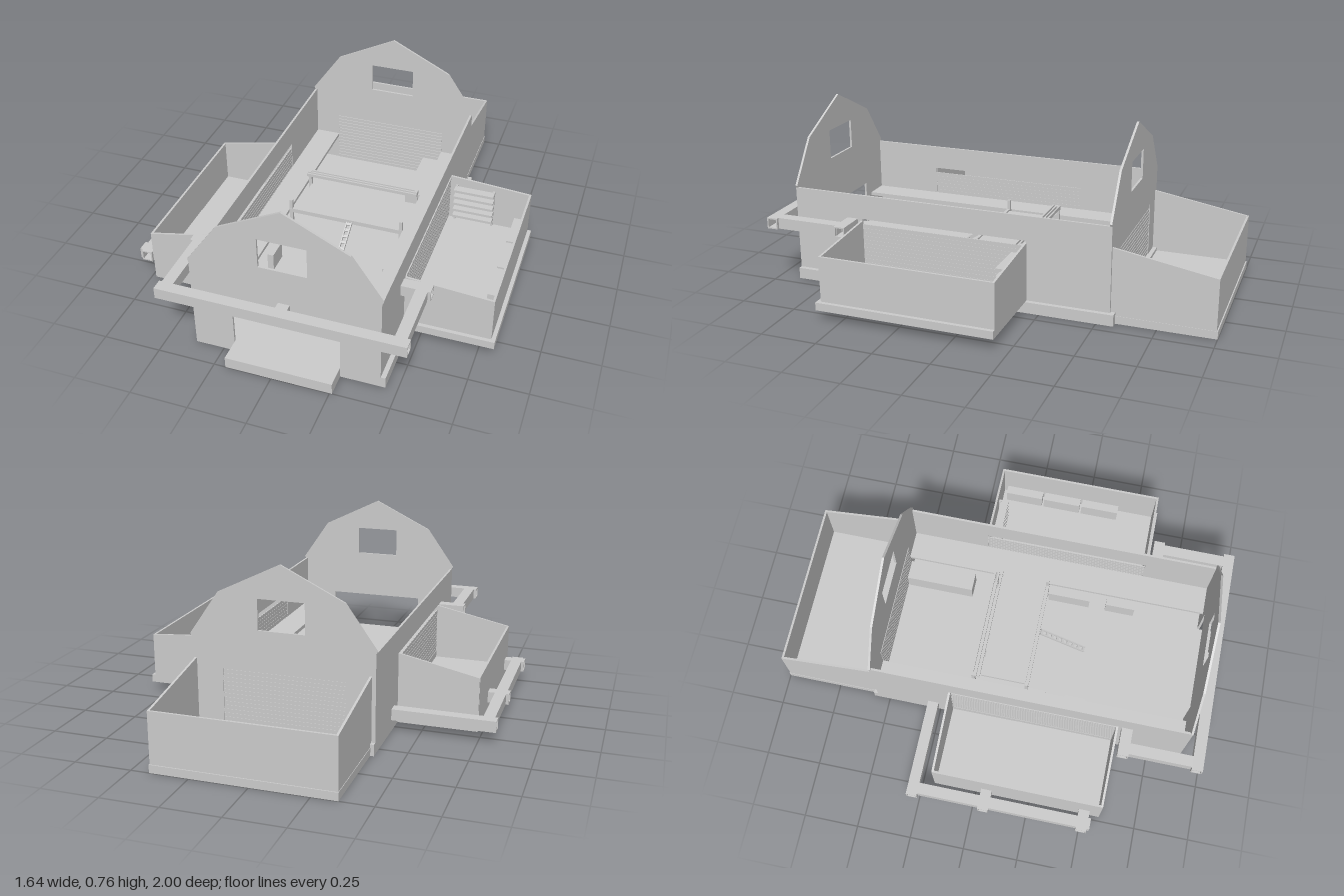
import * as THREE from 'three';

const T = 0.01; // wall thickness

export function createModel() {
  const root = new THREE.Group();
  const mat = new THREE.MeshStandardMaterial({ color: 0xcccccc, flatShading: true });

  const add = (name, geo) => {
    const m = new THREE.Mesh(geo, mat);
    m.name = name;
    root.add(m);
    return m;
  };

  // Box given by its limits
  const box = (name, x0, x1, y0, y1, z0, z1) =>
    add(name, new THREE.BoxGeometry(x1 - x0, y1 - y0, z1 - z0)
      .translate((x0 + x1) / 2, (y0 + y1) / 2, (z0 + z1) / 2));

  const path = (pts) => pts.map(([a, b]) => new THREE.Vector2(a, b));
  const rect = (a0, a1, b0, b1) => [[a0, b0], [a1, b0], [a1, b1], [a0, b1]];
  const extrude = (pts, holes, depth) => {
    const s = new THREE.Shape(path(pts));
    holes.forEach((h) => s.holes.push(new THREE.Path(path(h))));
    return new THREE.ExtrudeGeometry(s, { depth, bevelEnabled: false });
  };
  // Upright wall facing z, outline in x and y
  const wallZ = (name, z, pts, holes = []) =>
    add(name, extrude(pts, holes, T).translate(0, 0, z));
  // Upright wall facing x, outline in z and y
  const wallX = (name, x, pts, holes = []) =>
    add(name, extrude(pts, holes, T).rotateY(-Math.PI / 2).translate(x + T, 0, 0));

  // Open square pipe running along x or z
  const pipe = (name, axis, a0, a1, across, y) => {
    const w = 0.05, e = 0.006;
    const g = extrude(rect(0, w, 0, w), [rect(e, w - e, e, w - e)], a1 - a0);
    if (axis === 'z') g.translate(across, y, a0);
    else g.rotateY(Math.PI / 2).translate(a0, y, across + w);
    add(name, g);
  };

  // Main floor and front step
  box('mainFloor', -0.375, 0.45, 0, 0.05, -0.575, 0.9);
  box('frontStep', -0.2, 0.26, 0, 0.05, 0.9, 1);

  // Gable walls with loft window and wide doorway
  const gable = [[-0.375, 0], [0.43, 0], [0.43, 0.43], [0.435, 0.44], [0.305, 0.63],
    [0.03, 0.765], [-0.245, 0.63], [-0.38, 0.44], [-0.375, 0.43]];
  const loftWindow = rect(-0.075, 0.13, 0.48, 0.615);
  wallZ('frontGable', 0.89, gable, [loftWindow, rect(-0.2, 0.26, 0.05, 0.255)]);
  wallZ('backGable', -0.555, gable, [loftWindow, rect(-0.25, 0.29, 0.05, 0.3)]);

  // Side walls with wide openings into the wings
  for (const [name, x] of [['rightWall', -0.375], ['leftWall', 0.42]]) {
    wallX(name, x, rect(-0.545, 0.89, 0.002, 0.43), [rect(-0.185, 0.575, 0.085, 0.32)]);
  }

  // Slatted shutters closing the side and back openings
  const slats = 14;
  for (let i = 0; i < slats; i++) {
    const y = 0.05 + i * 0.0178, h = 0.014;
    box('backShutterSlat', -0.25, 0.29, y, y + h, -0.552, -0.543);
    for (const x of [-0.373, 0.422]) box('sideShutterSlat', x, x + 0.006, y, y + h, -0.185, 0.575);
  }
  box('backShutterSheet', -0.25, 0.29, 0.05, 0.3, -0.55, -0.547);
  for (const x of [-0.3715, 0.4235]) box('sideShutterSheet', x, x + 0.003, 0.05, 0.296, -0.185, 0.575);

  // Back yard: low floor with sloping side walls
  box('backYardFloor', -0.36, 0.42, 0, 0.035, -1, -0.55);
  const yard = [[-0.995, 0.03], [-0.555, 0.03], [-0.555, 0.335], [-0.995, 0.26]];
  wallX('backYardSide', -0.358, yard);
  wallX('backYardSide', 0.408, yard);
  box('backYardEnd', -0.358, 0.418, 0.03, 0.26, -0.995, -0.985);

  // Wing on the +x side, on a raised slab
  box('leftWingFloor', 0.43, 0.82, 0.05, 0.085, -0.19, 0.6);
  const leftWing = [[0.43, 0.08], [0.803, 0.08], [0.803, 0.285], [0.43, 0.312]];
  wallZ('leftWingFront', 0.573, leftWing);
  wallZ('leftWingBack', -0.19, leftWing);
  box('leftWingOuter', 0.793, 0.803, 0.08, 0.285, -0.185, 0.58);
  for (let i = 0; i < 3; i++) {
    const z = -0.16 + i * 0.19;
    box('wingBench', 0.74, 0.78, 0.085, 0.16, z, z + 0.18);
  }
  for (let i = 0; i < 5; i++) {
    const y = 0.12 + i * 0.035;
    box('wingShelf', 0.455, 0.64, y, y + 0.012, -0.168, -0.13);
  }
  for (const x of [0.455, 0.63]) box('shelfPost', x, x + 0.01, 0.085, 0.275, -0.175, -0.165);

  // Wing on the -x side, standing on the ground
  box('rightWingFloor', -0.73, -0.37, 0, 0.05, -0.195, 0.58);
  box('rightWingThreshold', -0.72, -0.375, 0.05, 0.054, 0.12, 0.57);
  const rightWing = [[-0.73, 0.002], [-0.375, 0.002], [-0.375, 0.32], [-0.73, 0.245]];
  wallZ('rightWingFront', 0.572, rightWing);
  wallZ('rightWingBack', -0.197, rightWing);
  box('rightWingOuter', -0.731, -0.721, 0.002, 0.245, -0.19, 0.58);

  // Square pipes around the front
  pipe('frontPipe', 'x', -0.5, 0.555, 0.93, 0.27);
  pipe('frontPipeStub', 'z', 0.89, 0.935, 0.003, 0.27);
  pipe('frontPipeSide', 'z', 0.64, 0.935, -0.488, 0.27);
  pipe('frontPipeSide', 'z', 0.64, 0.935, 0.492, 0.27);
  pipe('frontPipeReturn', 'x', -0.5, -0.37, 0.598, 0.27);
  pipe('frontPipeReturn', 'x', 0.425, 0.555, 0.598, 0.27);

  // Square pipes around the -x wing
  pipe('wingPipe', 'z', -0.26, 0.545, -0.812, 0.052);
  pipe('wingPipeReturn', 'x', -0.825, -0.37, -0.305, 0.052);
  for (const z of [0.028, 0.483]) {
    pipe('wingPipeStub', 'x', -0.825, -0.808, z, 0.052);
    pipe('wingPipeStub', 'x', -0.766, -0.728, z, 0.052);
  }

  // Side ledges and raised platform inside
  box('sideLedge', -0.365, -0.25, 0.175, 0.19, -0.545, 0.89);
  box('sideLedge', 0.29, 0.42, 0.175, 0.19, -0.545, 0.89);
  box('platform', -0.225, 0.29, 0.175, 0.19, -0.08, 0.13);
  for (const x of [-0.25, 0.275]) {
    for (const z of [-0.12, 0.13]) box('platformPost', x, x + 0.015, 0.05, 0.24, z, z + 0.015);
  }
  for (const z of [-0.122, -0.106, -0.09]) box('crossBeam', -0.25, 0.29, 0.225, 0.24, z, z + 0.008);
  box('frontBeam', -0.25, 0.29, 0.175, 0.195, 0.132, 0.146);
  box('innerDoor', -0.1, -0.022, 0.05, 0.175, -0.09, -0.08);
  box('innerDoor', -0.018, 0.06, 0.05, 0.175, -0.09, -0.08);

  // Sloping ladder from the platform to the floor
  const run = 0.22, rise = 0.135, len = Math.hypot(run, rise);
  const ladder = new THREE.Group();
  ladder.name = 'ladder';
  const rung = (w, h, d, x, z) => {
    const m = new THREE.Mesh(new THREE.BoxGeometry(w, h, d), mat);
    m.position.set(x, 0, z);
    ladder.add(m);
  };
  for (const x of [-0.011, 0.011]) rung(0.005, 0.012, len, x, 0);
  for (let i = 0; i < 9; i++) rung(0.02, 0.006, 0.012, 0, (i / 8 - 0.5) * len * 0.94);
  ladder.position.set(0.043, 0.05 + rise / 2, 0.15 + run / 2);
  ladder.rotation.x = Math.atan2(rise, run);
  root.add(ladder);

  // Counters and cupboards along the inner sides
  box('counter', 0.2, 0.29, 0.05, 0.14, -0.54, -0.22);
  for (const [x, z0, z1] of [[-0.25, 0.15, 0.23], [-0.25, 0.32, 0.42], [0.262, 0.15, 0.35], [0.262, 0.43, 0.57]]) {
    box('cupboard', x, x + 0.028, 0.05, 0.13, z0, z1);
  }
  return root;
}
